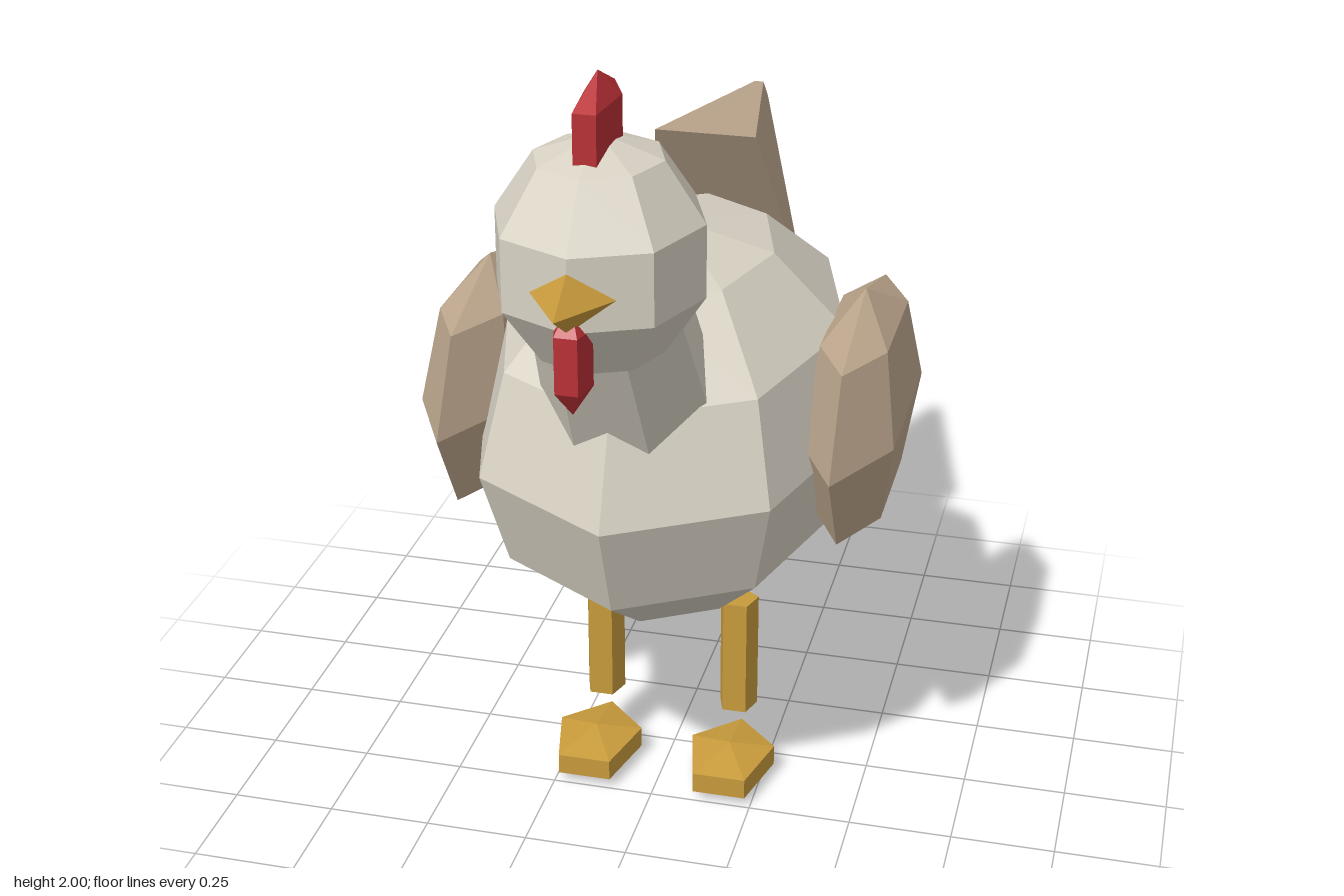
import * as THREE from 'three';

const material = (name, color) => {
  const m = new THREE.MeshStandardMaterial({ color });
  m.name = name;
  return m;
};

// Split the faces so each one is shaded flat
function facet(geometry) {
  const g = geometry.toNonIndexed();
  g.computeVertexNormals();
  return g;
}

// Low-poly ellipsoid with one ridge pointing to the back
function ellipsoid(radii, sides, rings) {
  return facet(new THREE.SphereGeometry(1, sides, rings).rotateY(-Math.PI / 2).scale(...radii));
}

// Low-poly tapered column with one ridge pointing to the back
function column(top, bottom, height, sides, xScale = 1) {
  return facet(new THREE.CylinderGeometry(top, bottom, height, sides).rotateY(Math.PI).scale(xScale, 1, 1));
}

export function createModel() {
  const model = new THREE.Group();
  model.name = 'hen';

  const cream = material('cream feathers', 0xd8d2c4);
  const tan = material('tan feathers', 0xbca68c);
  const gold = material('gold', 0xc89b3c);
  const red = material('red', 0xb83035);

  function add(name, geometry, mat, x, y, z, tilt = 0) {
    const mesh = new THREE.Mesh(geometry, mat);
    mesh.name = name;
    mesh.position.set(x, y, z);
    mesh.rotation.x = tilt;
    model.add(mesh);
  }

  // Body, neck and head
  add('body', ellipsoid([0.475, 0.475, 0.69], 8, 6), cream, 0, 0.965, 0);
  add('neck', column(0.165, 0.2, 0.5, 7), cream, 0, 1.36, 0.52, 0.55);
  add('head', ellipsoid([0.237, 0.26, 0.26], 8, 5), cream, 0, 1.61, 0.645);

  // Face
  add('comb', ellipsoid([0.0486, 0.12, 0.15], 5, 3), red, 0, 1.88, 0.645);
  add('wattle', ellipsoid([0.0486, 0.125, 0.064], 5, 3), red, 0, 1.465, 0.865);
  add('beak', facet(new THREE.ConeGeometry(0.117, 0.18, 4)), gold, 0, 1.595, 0.9, Math.PI / 2);

  // Fanned tail, broad end towards the body
  add('tail', column(0.048, 0.514, 0.516, 5, 0.414), tan, 0, 1.314, -0.737, -Math.PI / 3);

  // Wings, legs and feet on both sides
  for (const [side, s] of [['left', 1], ['right', -1]]) {
    add(side + 'Wing', ellipsoid([0.127, 0.3, 0.43], 6, 4), tan, s * 0.455, 1.01, 0);
    add(side + 'Leg', column(0.05, 0.05, 0.305, 5), gold, s * 0.172, 0.317, 0.04);
    add(side + 'Foot', ellipsoid([0.128, 0.052, 0.172], 5, 3), gold, s * 0.172, 0.052, 0.13);
  }

  return model;
}
